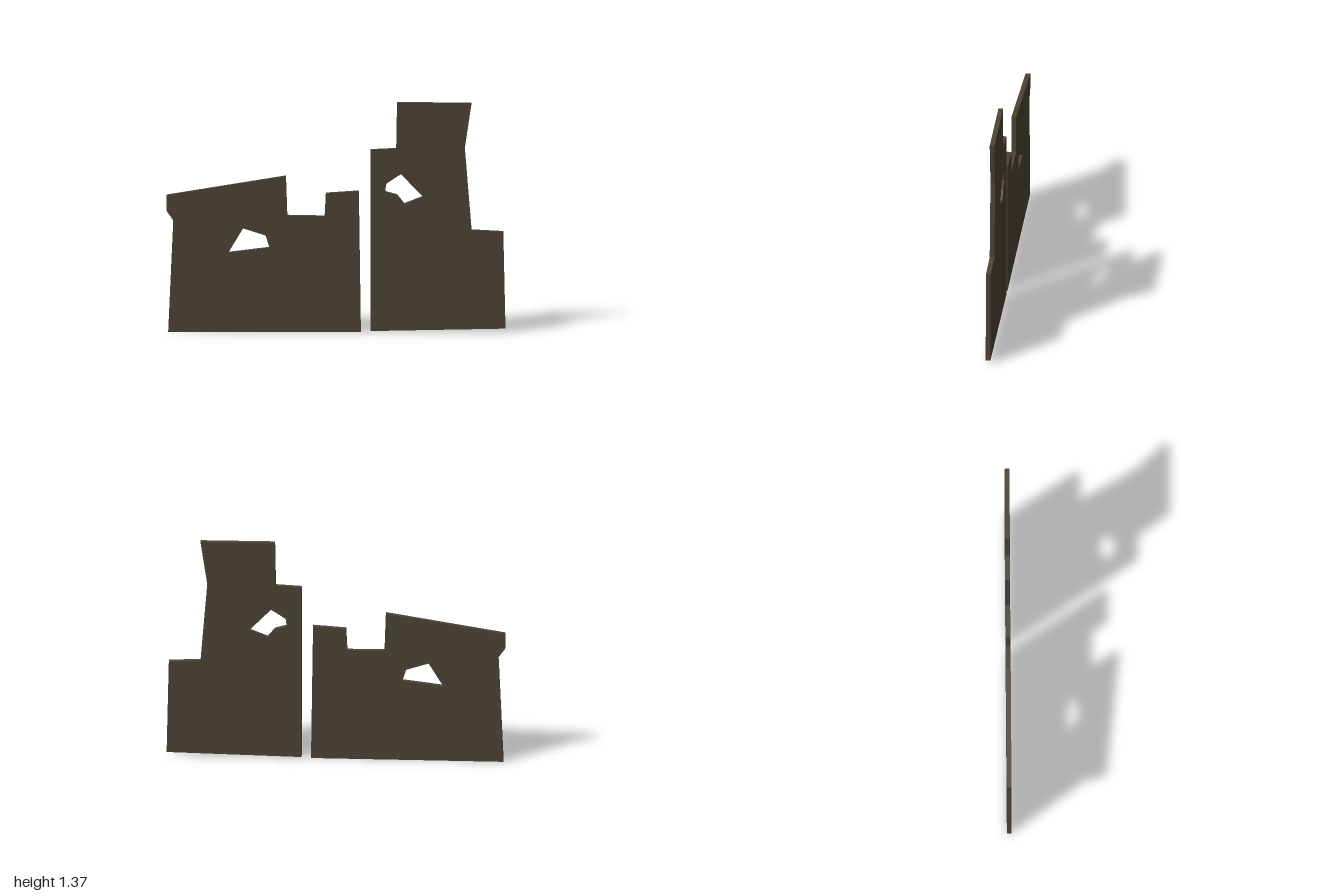
import * as THREE from 'three';

const THICKNESS = 0.028;

// Flat slab cut from an outline with one hole, centred on z = 0
function slab(name, outline, hole, material) {
  const points = (list) => list.map(([x, y]) => new THREE.Vector2(x, y));
  const shape = new THREE.Shape(points(outline));
  shape.holes.push(new THREE.Path(points(hole)));
  const geometry = new THREE.ExtrudeGeometry(shape, { depth: THICKNESS, bevelEnabled: false });
  geometry.translate(0, 0, -THICKNESS / 2);
  const mesh = new THREE.Mesh(geometry, material);
  mesh.name = name;
  return mesh;
}

export function createModel() {
  const darkBrown = new THREE.MeshStandardMaterial({ color: 0x4f4535 });
  darkBrown.name = 'darkBrown';

  const model = new THREE.Group();
  model.name = 'ruinedWall';

  // Low wall with a notch in its top edge
  model.add(slab('lowWall', [
    [-0.99, 0], [0.147, 0], [0.135, 0.843], [-0.06, 0.83], [-0.067, 0.693],
    [-0.287, 0.697], [-0.295, 0.933], [-1, 0.818], [-1, 0.725], [-0.96, 0.667],
  ], [
    [-0.635, 0.475], [-0.548, 0.62], [-0.415, 0.577], [-0.393, 0.505],
  ], darkBrown));

  // Tall wall, stepped on both sides
  model.add(slab('tallWall', [
    [0.203, 0.005], [1, 0.02], [0.987, 0.6], [0.8, 0.61], [0.76, 1.1],
    [0.8, 1.37], [0.36, 1.372], [0.355, 1.098], [0.203, 1.09],
  ], [
    [0.383, 0.945], [0.512, 0.81], [0.403, 0.767], [0.36, 0.82], [0.29, 0.84], [0.297, 0.888],
  ], darkBrown));

  return model;
}
